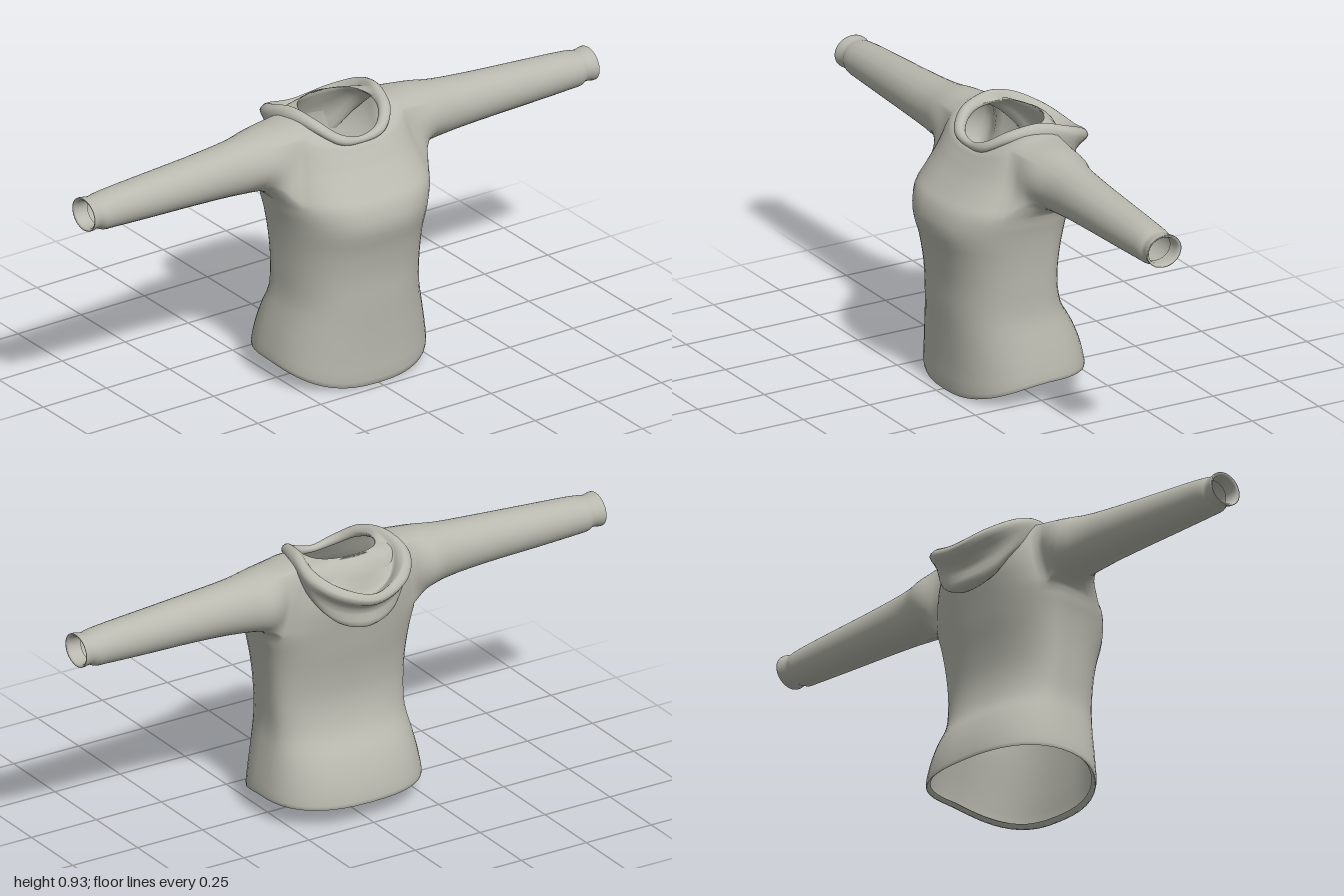
import * as THREE from 'three';

const COLS = 48, SUB = 3;
const V = (x, y, z) => new THREE.Vector3(x, y, z);

// Runs a smooth curve through key points and samples it evenly per key
function smooth(points, sub, closed = false) {
  const curve = new THREE.CatmullRomCurve3(points, closed, 'centripetal');
  const n = (closed ? points.length : points.length - 1) * sub;
  const out = [];
  for (let i = 0; i < (closed ? n : n + 1); i++) out.push(curve.getPoint(i / n));
  return out;
}

function quad(index, a, b, c, d, flip) {
  if (flip) index.push(a, c, b, a, d, c);
  else index.push(a, b, c, a, c, d);
}

function makeMesh(points, index, material, name) {
  const g = new THREE.BufferGeometry().setFromPoints(points);
  g.setIndex(index);
  g.computeVertexNormals();
  const mesh = new THREE.Mesh(g, material);
  mesh.name = name;
  return mesh;
}

// Torso rings: y at front, side and back, half width, front z, back z
const TORSO = [
  [0.02, 0.09, 0.085, 0.272, 0.208, -0.22],
  [0.004, 0.078, 0.07, 0.285, 0.222, -0.234],
  [0.1, 0.14, 0.14, 0.278, 0.226, -0.222],
  [0.2, 0.22, 0.22, 0.262, 0.23, -0.19],
  [0.3, 0.3, 0.3, 0.247, 0.236, -0.143],
  [0.4, 0.4, 0.4, 0.248, 0.241, -0.122],
  [0.5, 0.5, 0.5, 0.254, 0.258, -0.13],
  [0.59, 0.59, 0.59, 0.266, 0.281, -0.148],
  [0.66, 0.665, 0.67, 0.282, 0.266, -0.163],
  [0.7, 0.71, 0.71, 0.275, 0.233, -0.171],
  [0.735, 0.75, 0.75, 0.265, 0.203, -0.178],
  [0.765, 0.79, 0.79, 0.255, 0.179, -0.18],
  [0.79, 0.83, 0.825, 0.245, 0.162, -0.177],
  [0.81, 0.87, 0.86, 0.235, 0.148, -0.168],
  [0.825, 0.903, 0.885, 0.215, 0.138, -0.155],
  [0.832, 0.91, 0.905, 0.17, 0.13, -0.14],
  [0.838, 0.912, 0.918, 0.13, 0.12, -0.125],
];
const ARM_LOW = 8 * SUB, ARM_HIGH = 14 * SUB, ARM_FRONT = 8, ARM_BACK = 16;

// Sleeve rings: x, bottom y, top y, back z, front z; the last ones turn in
const SLEEVE = [
  [0.31, 0.686, 0.9, -0.137, 0.085],
  [0.4, 0.7, 0.886, -0.113, 0.067],
  [0.55, 0.709, 0.873, -0.1, 0.059],
  [0.75, 0.714, 0.859, -0.092, 0.05],
  [0.9, 0.719, 0.848, -0.086, 0.044],
  [0.945, 0.722, 0.842, -0.084, 0.042],
  [0.965, 0.732, 0.838, -0.079, 0.036],
  [1.0, 0.729, 0.842, -0.086, 0.044],
  [0.995, 0.737, 0.832, -0.076, 0.034],
  [0.95, 0.738, 0.83, -0.072, 0.03],
];

function torsoPoint([yF, yS, yB, hw, zf, zb], t) {
  const s = Math.sin(t), c = Math.cos(t), p = 0.8, zc = -0.01;
  const w = Math.abs(c) ** 1.5;
  return V(
    hw * Math.sign(s) * Math.abs(s) ** p,
    yS + ((c > 0 ? yF : yB) - yS) * w,
    zc + ((c > 0 ? zf : zb) - zc) * Math.abs(c) ** p
  );
}

// Torso with an armhole on each side, and sleeves growing out of the armholes
function makeBody(material) {
  const columns = [];
  for (let i = 0; i < COLS; i++) {
    const t = (i / COLS) * Math.PI * 2;
    columns.push(smooth(TORSO.map(row => torsoPoint(row, t)), SUB));
  }
  const rows = columns[0].length;
  const points = [], index = [];
  for (let r = 0; r < rows; r++) for (let i = 0; i < COLS; i++) points.push(columns[i][r]);
  const at = (r, i) => r * COLS + ((i + COLS) % COLS);
  const inArm = i => i >= ARM_FRONT && i < ARM_BACK;
  for (let r = 0; r < rows - 1; r++) {
    for (let i = 0; i < COLS; i++) {
      const open = r >= ARM_LOW && r < ARM_HIGH && (inArm(i) || inArm(COLS - 1 - i));
      if (!open) quad(index, at(r, i), at(r, i + 1), at(r + 1, i + 1), at(r + 1, i));
    }
  }

  // Armhole edge: over the shoulder, down the front, under the arm, up the back
  const edge = [];
  for (let i = ARM_BACK; i > ARM_FRONT; i--) edge.push([ARM_HIGH, i]);
  for (let r = ARM_HIGH; r > ARM_LOW; r--) edge.push([r, ARM_FRONT]);
  for (let i = ARM_FRONT; i < ARM_BACK; i++) edge.push([ARM_LOW, i]);
  for (let r = ARM_LOW; r < ARM_HIGH; r++) edge.push([r, ARM_BACK]);

  for (const side of [1, -1]) {
    const strands = edge.map(([r, i]) => {
      const start = at(r, side * i), p = points[start];
      const a = Math.atan2(p.y - 0.785, p.z + 0.02);
      const keys = [p.clone()];
      for (const [x, y0, y1, z0, z1] of SLEEVE) {
        keys.push(V(
          side * x,
          (y0 + y1) / 2 + Math.sin(a) * (y1 - y0) / 2,
          (z0 + z1) / 2 + Math.cos(a) * (z1 - z0) / 2
        ));
      }
      const ids = [start];
      smooth(keys, SUB).slice(1).forEach(q => ids.push(points.push(q) - 1));
      return ids;
    });
    strands.forEach((s, j) => {
      const n = strands[(j + 1) % strands.length];
      for (let k = 0; k < s.length - 1; k++) quad(index, s[k], n[k], n[k + 1], s[k + 1], side < 0);
    });
  }
  return makeMesh(points, index, material, 'bodyAndSleeves');
}

// Round section of the collar roll, from the inside over the top
function roll(r, y, radius) {
  return Array.from({ length: 10 }, (_, k) => {
    const a = Math.PI - (k / 10) * Math.PI * 2;
    return [r + Math.cos(a) * radius, y + Math.sin(a) * radius];
  });
}

// Hood sections by angle from the front: radius from the neck axis, height
const HOOD = [
  [0, roll(0.142, 0.84, 0.012)],
  [30, roll(0.156, 0.856, 0.018)],
  [60, roll(0.156, 0.896, 0.021)],
  [95, [[0.13, 0.91], [0.138, 0.92], [0.146, 0.927], [0.153, 0.933], [0.163, 0.937],
    [0.18, 0.928], [0.188, 0.91], [0.186, 0.895], [0.17, 0.89], [0.15, 0.895]]],
  [125, [[0.125, 0.915], [0.15, 0.905], [0.18, 0.89], [0.195, 0.905], [0.215, 0.912],
    [0.24, 0.89], [0.232, 0.85], [0.215, 0.81], [0.19, 0.82], [0.16, 0.88]]],
  [150, [[0.115, 0.915], [0.15, 0.89], [0.19, 0.83], [0.215, 0.855], [0.24, 0.87],
    [0.262, 0.842], [0.218, 0.79], [0.212, 0.73], [0.18, 0.725], [0.17, 0.82]]],
  [180, [[0.11, 0.917], [0.152, 0.885], [0.182, 0.8], [0.222, 0.815], [0.248, 0.835],
    [0.262, 0.808], [0.207, 0.765], [0.21, 0.708], [0.176, 0.692], [0.165, 0.8]]],
];

// Folded-down hood: a collar roll at the front that widens to a pouch behind
function makeHood(material) {
  const mirrored = HOOD.slice(1, -1).reverse().map(([deg, s]) => [360 - deg, s]);
  const sections = [...HOOD, ...mirrored].map(([deg, s]) => {
    const a = THREE.MathUtils.degToRad(deg);
    return smooth(s.map(([r, y]) => V(Math.sin(a) * r, y, -0.02 + Math.cos(a) * r)), 3, true);
  });
  const m = sections[0].length;
  const strands = [];
  for (let k = 0; k < m; k++) strands.push(smooth(sections.map(s => s[k]), 6, true));
  const n = strands[0].length, points = strands.flat(), index = [];
  for (let k = 0; k < m; k++) {
    for (let i = 0; i < n; i++) {
      const k2 = (k + 1) % m, i2 = (i + 1) % n;
      quad(index, k * n + i, k * n + i2, k2 * n + i2, k2 * n + i, true);
    }
  }
  return makeMesh(points, index, material, 'hood');
}

export function createModel() {
  const cloth = new THREE.MeshStandardMaterial({ color: 0xb9b9af, side: THREE.DoubleSide });
  cloth.name = 'grey cloth';
  const group = new THREE.Group();
  group.name = 'hoodedTop';
  group.add(makeBody(cloth), makeHood(cloth));
  return group;
}
